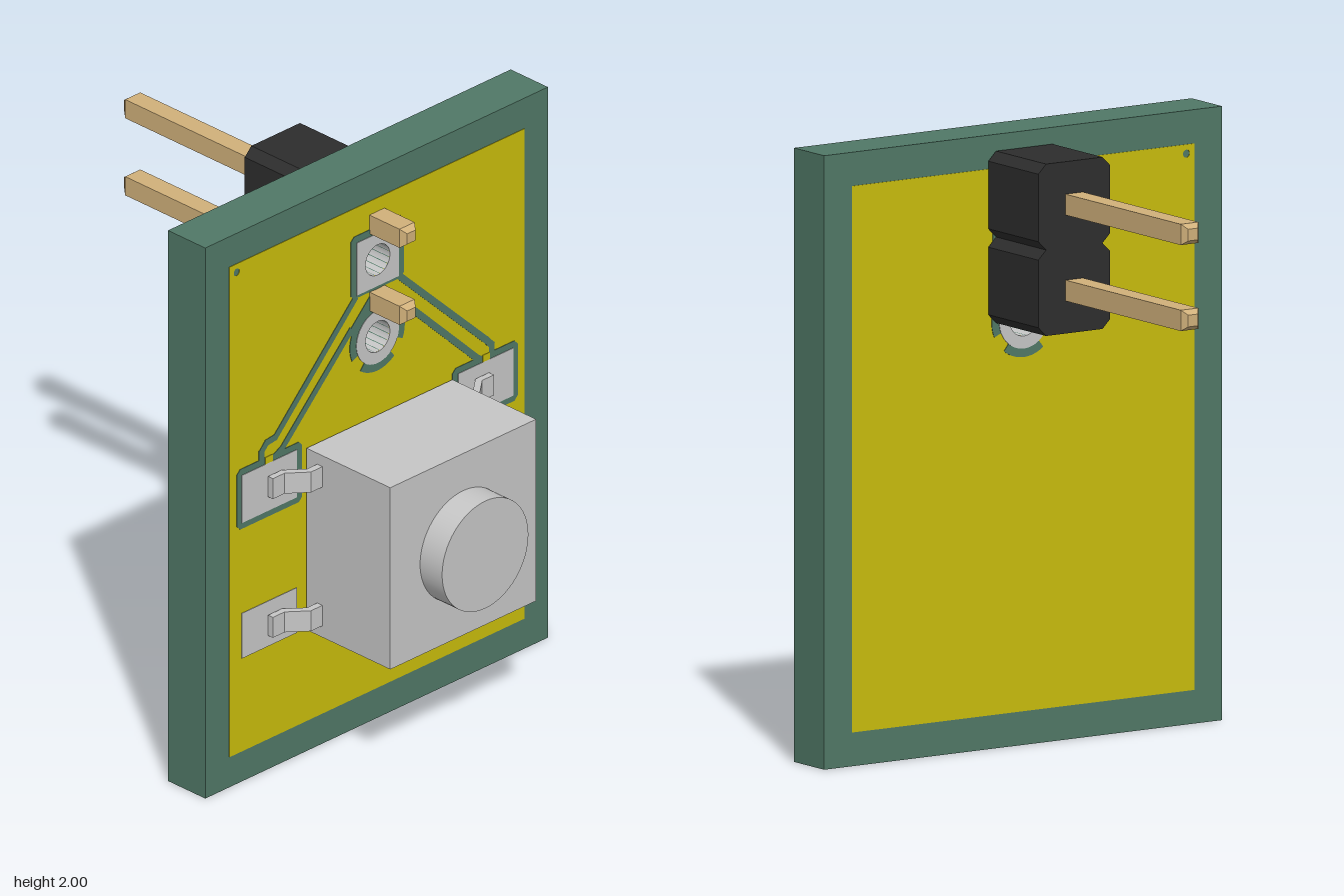
import * as THREE from 'three';

const mat = (name, color) => {
  const m = new THREE.MeshStandardMaterial({ color });
  m.name = name;
  return m;
};

export function createModel() {
  const model = new THREE.Group();
  model.name = 'buttonBoard';
  const green = mat('board green', 0x507866);
  const copper = mat('copper yellow', 0xc8bc0c);
  const silver = mat('silver', 0xc6c6c6);
  const black = mat('housing black', 0x2d2d2d);
  const gold = mat('pin gold', 0xd0b07a);
  const bore = mat('bore silver', 0xc6c6c6);
  bore.side = THREE.DoubleSide;

  const FRONT = 0.317, BACK = 0.148, LAYER = 0.0018;
  const HOLES = [1.667, 1.388], DRILL = 0.055;

  const add = (name, geo, material, x = 0, y = 0, z = 0, parent = model) => {
    const m = new THREE.Mesh(geo, material);
    m.name = name;
    m.position.set(x, y, z);
    parent.add(m);
    return m;
  };
  const extrude = (shape, depth) =>
    new THREE.ExtrudeGeometry(shape, { depth, bevelEnabled: false, curveSegments: 24 });
  const poly = pts => new THREE.Shape(pts.map(p => new THREE.Vector2(...p)));
  const rect = (x0, y0, x1, y1) => poly([[x0, y0], [x1, y0], [x1, y1], [x0, y1]]);
  // rectangle with cut corners
  const cutRect = (x0, y0, x1, y1, c) => poly([
    [x0 + c, y0], [x1 - c, y0], [x1, y0 + c], [x1, y1 - c],
    [x1 - c, y1], [x0 + c, y1], [x0, y1 - c], [x0, y0 + c]]);
  const drill = (shape, x, y, r) => {
    shape.holes.push(new THREE.Path().absarc(x, y, r, 0, Math.PI * 2, true));
    return shape;
  };
  const drillBoth = shape => {
    HOLES.forEach(y => drill(shape, 0, y, DRILL));
    return shape;
  };
  // thin layer on the front (side 1) or back (side -1) of the board
  const plate = (name, shape, material, level, side) =>
    add(name, extrude(shape, LAYER), material, 0, 0,
      side > 0 ? FRONT + level * LAYER : BACK - (level + 1) * LAYER);
  const arcBand = (y, r0, r1, a0, a1) => {
    const s = new THREE.Shape();
    s.absarc(0, y, r1, a0, a1, false);
    s.absarc(0, y, r0, a1, a0, true);
    return s;
  };
  // isolation groove drawn as a run of narrow strips
  const groove = pts => {
    const w = 0.024;
    for (let i = 1; i < pts.length; i++) {
      const [ax, ay] = pts[i - 1], [bx, by] = pts[i];
      const len = Math.hypot(bx - ax, by - ay);
      const m = add('traceGroove', new THREE.BoxGeometry(len + w * 0.6, w, LAYER), green,
        (ax + bx) / 2, (ay + by) / 2, FRONT + 1.5 * LAYER);
      m.rotation.z = Math.atan2(by - ay, bx - ax);
    }
  };

  // board slab
  add('board', extrude(drillBoth(rect(-0.775, 0, 0.775, 2)), FRONT - BACK), green, 0, 0, BACK);

  // copper fills, through-hole pads and their clearances on both faces
  for (const side of [1, -1]) {
    const fill = drillBoth(rect(-0.667, 0.11, 0.667, 1.89));
    plate('copperFill', drill(fill, -0.635, 1.86, 0.013), copper, 0, side);
    plate('squarePadClearance',
      drill(cutRect(-0.12, 1.562, 0.12, 1.788, 0.015), 0, HOLES[0], DRILL), green, 1, side);
    plate('squarePad', drill(rect(-0.095, 1.572, 0.095, 1.763), 0, HOLES[0], DRILL), silver, 2, side);
    const d = Math.PI / 180;
    for (const [a, b] of [[232, 308], [-23, 38], [142, 203], [52, 128]])
      plate('roundPadClearance', arcBand(HOLES[1], 0.09, 0.124, a * d, b * d), green, 1, side);
    const ring = new THREE.Shape().absarc(0, HOLES[1], 0.096, 0, Math.PI * 2, false);
    plate('roundPad', drill(ring, 0, HOLES[1], DRILL), silver, 2, side);
  }
  // bare area between the two traces above the round pad
  plate('traceGap', poly([[0, 1.58], [-0.14, 1.44], [-0.085, 1.42], [-0.06, 1.46],
    [0.06, 1.46], [0.085, 1.42], [0.14, 1.44]]), green, 1, 1);

  // plated bores
  for (const y of HOLES) {
    const g = new THREE.CylinderGeometry(DRILL, DRILL, FRONT - BACK + 4 * LAYER, 32, 1, true);
    add('platedBore', g.rotateX(Math.PI / 2), bore, 0, y, (FRONT + BACK) / 2);
  }

  // trace outlines
  groove([[-0.1, 1.562], [-0.46, 1.195], [-0.5, 1.19], [-0.523, 1.165], [-0.523, 1.13]]);
  groove([[-0.12, 1.453], [-0.43, 1.143], [-0.46, 1.128]]);
  groove([[0.105, 1.565], [0.495, 1.187], [0.518, 1.162], [0.518, 1.13]]);
  groove([[0.12, 1.465], [0.45, 1.14], [0.465, 1.128]]);

  // button solder pads and leads
  for (const s of [-1, 1]) {
    const span = (x0, y0, x1, y1) => rect(Math.min(s * x0, s * x1), y0, Math.max(s * x0, s * x1), y1);
    const a = Math.min(s * 0.34, s * 0.635), b = Math.max(s * 0.34, s * 0.635);
    plate('upperPadClearance', cutRect(a, 0.92, b, 1.138, 0.015), green, 1, 1);
    plate('upperPad', span(0.365, 0.942, 0.614, 1.115), silver, 2, 1);
    plate('traceEntry', span(0.475, 1.115, 0.508, 1.14), copper, 2, 1);
    plate('lowerPad', span(0.365, 0.45, 0.614, 0.614), silver, 2, 1);
    // bent lead profile in x and z, extruded along y
    const pts = [[0.5, 0.326], [0.5, 0.348], [0.447, 0.348], [0.382, 0.402], [0.32, 0.402],
      [0.32, 0.378], [0.375, 0.378], [0.438, 0.326]];
    const profile = poly(pts.map(([x, z]) => [s * x, -z]));
    for (const y of [1.033, 0.529]) {
      const g = extrude(profile, 0.074).rotateX(-Math.PI / 2);
      add('buttonLead', g, silver, 0, y - 0.037, 0);
    }
  }

  // push button
  add('buttonBody', new THREE.BoxGeometry(0.66, 0.66, 0.38), silver, 0, 0.78, 0.52);
  add('buttonCap', new THREE.CylinderGeometry(0.195, 0.195, 0.105, 64).rotateX(Math.PI / 2),
    silver, 0, 0.78, 0.7575);

  // pin header: two chamfered housing cells, each with a square pin
  for (const y of [1.807, 1.527]) {
    const cell = cutRect(-0.14, -0.14, 0.14, 0.14, 0.03);
    add('headerHousing', extrude(cell, 0.282), black, 0, y, -0.141);
    const pin = new THREE.ExtrudeGeometry(rect(-0.019, -0.019, 0.019, 0.019), {
      depth: 1.245, bevelThickness: 0.02, bevelSize: 0.015, bevelSegments: 1 });
    add('headerPin', pin, gold, 0, y, -0.79);
  }
  return model;
}
